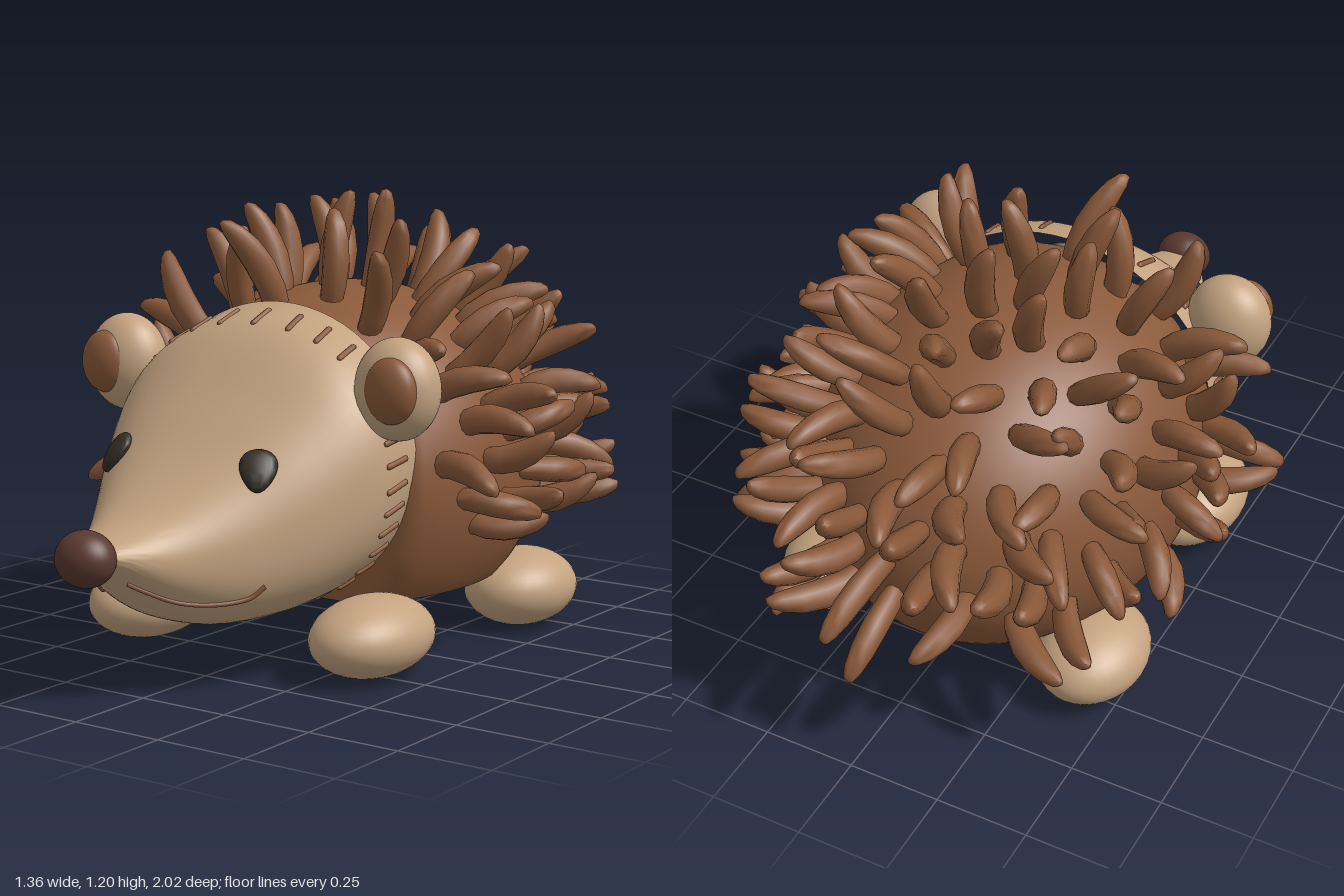
import * as THREE from 'three';
import { toCreasedNormals } from 'three/addons/utils/BufferGeometryUtils.js';

const V = (x, y, z) => new THREE.Vector3(x, y, z);
const MID = -0.02; // centre line of the body

const paint = (name, color) => {
  const m = new THREE.MeshStandardMaterial({ color });
  m.name = name;
  return m;
};

// Move every vertex of a geometry by a rule, then rebuild its normals
function reshape(geo, rule, crease = 1) {
  const p = geo.attributes.position, v = V(0, 0, 0);
  for (let i = 0; i < p.count; i++) {
    rule(v.fromBufferAttribute(p, i));
    p.setXYZ(i, v.x, v.y, v.z);
  }
  return toCreasedNormals(geo, crease);
}

// Head sections, evenly spaced along z: top, bottom, half width
const HEAD_BACK = 0.15, HEAD_LENGTH = 0.75;
const sections = new THREE.CatmullRomCurve3([
  V(0.92, 0.155, 0.425), V(0.855, 0.15, 0.415), V(0.705, 0.145, 0.35),
  V(0.565, 0.16, 0.258), V(0.465, 0.235, 0.16), V(0.41, 0.35, 0.07),
], false, 'catmullrom');

// Centre height, half height, half width and roundness of a section
function headSection(t) {
  const s = sections.getPoint(t);
  return { y: (s.x + s.y) / 2, h: (s.x - s.y) / 2, w: s.z, n: 2 + 0.45 * Math.sin(Math.PI * t) };
}

function headPoint(t, angle) {
  const s = headSection(t);
  const soft = (k) => Math.sign(k) * Math.abs(k) ** (2 / s.n);
  return V(MID + s.w * soft(Math.cos(angle)), s.y + s.h * soft(Math.sin(angle)), HEAD_BACK + t * HEAD_LENGTH);
}

// Depth of the face at a given x, y
function headZ(x, y) {
  for (let t = 1; t > 0; t -= 0.002) {
    const s = headSection(t);
    if (Math.abs((x - MID) / s.w) ** s.n + Math.abs((y - s.y) / s.h) ** s.n < 1) return HEAD_BACK + t * HEAD_LENGTH;
  }
  return HEAD_BACK;
}

export function createModel() {
  const model = new THREE.Group();
  const tan = paint('tan', 0xc4a380);
  const brown = paint('brown', 0x8a593a);
  const noseBrown = paint('dark brown', 0x5a392e);
  const black = paint('soft black', 0x332e26);

  let seed = 7;
  const random = () => (seed = (seed * 16807) % 2147483647) / 2147483647;
  const jitter = (a) => (random() - 0.5) * 2 * a;

  const add = (name, geo, mat, parent = model) => {
    const mesh = new THREE.Mesh(geo, mat);
    mesh.name = name;
    parent.add(mesh);
    return mesh;
  };
  const ball = new THREE.SphereGeometry(1, 32, 24);
  const ellipsoid = (name, mat, pos, size) => {
    const mesh = add(name, ball, mat);
    mesh.position.set(...pos);
    mesh.scale.set(...size);
    return mesh;
  };

  // Body: an ellipsoid cut flat underneath and at the neck
  const centre = V(MID, 0.46, -0.15), radii = V(0.505, 0.49, 0.62);
  add('body', reshape(new THREE.SphereGeometry(1, 64, 48), (v) => {
    v.multiply(radii).add(centre);
    v.y = Math.max(v.y, 0.155);
    v.z = Math.min(v.z, 0.17);
  }, 1.2), brown);

  // Head: round at the neck, tapering to the snout
  const headGeo = new THREE.CylinderGeometry(1, 1, 1, 64, 28, true).rotateX(Math.PI / 2);
  add('head', reshape(headGeo, (v) => v.copy(headPoint(v.z + 0.5, Math.atan2(v.y, v.x)))), tan);
  ellipsoid('nose', noseBrown, [MID, 0.38, 0.933], [0.08, 0.07, 0.067]);

  // Stitches around the neck, closer together at the sides
  const stitches = new THREE.Group();
  stitches.name = 'stitches';
  model.add(stitches);
  const stitchGeo = new THREE.CapsuleGeometry(0.008, 0.07, 3, 8);
  for (let i = 0; i < 34; i++) {
    const u = ((i + 0.5) / 34) * Math.PI * 2, a = u - 0.115 * Math.sin(2 * u);
    const from = headPoint(0.055, a), to = headPoint(0.165, a);
    const stitch = add('stitch', stitchGeo, brown, stitches);
    stitch.position.copy(from).lerp(to, 0.5);
    stitch.quaternion.setFromUnitVectors(V(0, 1, 0), to.sub(from).normalize());
  }

  // Paired parts
  const eyeGeo = reshape(new THREE.SphereGeometry(1, 24, 16), (v) => {
    v.set(v.x * (0.046 + 0.013 * v.y), v.y * 0.058, v.z * 0.02);
  });
  for (const side of [-1, 1]) {
    const label = side > 0 ? 'left' : 'right';
    const at = (x) => MID + side * x;

    // Teardrop eye lying on the face
    const ex = at(0.222), ey = 0.555, d = 0.02;
    const normal = V(headZ(ex - d, ey) - headZ(ex + d, ey), headZ(ex, ey - d) - headZ(ex, ey + d), 2 * d).normalize();
    const eye = add(label + 'Eye', eyeGeo, black);
    eye.position.set(ex, ey, headZ(ex, ey)).addScaledVector(normal, 0.005);
    eye.quaternion.setFromUnitVectors(V(0, 0, 1), normal);
    eye.rotateZ(side * 0.15);

    // Half of the smile
    const path = [[0.262, 0.28], [0.235, 0.252], [0.18, 0.24], [0.12, 0.25], [0.075, 0.285], [0.05, 0.31]]
      .map(([x, y]) => V(at(x), y, headZ(at(x), y)));
    add(label + 'Smile', new THREE.TubeGeometry(new THREE.CatmullRomCurve3(path), 32, 0.007, 8), brown);

    // Ear and inner ear
    ellipsoid(label + 'Ear', tan, [at(0.432), 0.74, 0.248], [0.115, 0.13, 0.093]);
    ellipsoid(label + 'InnerEar', brown, [at(0.455), 0.745, 0.315], [0.072, 0.083, 0.044]);

    // Feet
    ellipsoid(label + 'FrontFoot', tan, [at(0.36), 0.104, 0.25], [0.142, 0.104, 0.2]);
    ellipsoid(label + 'BackFoot', tan, [at(0.385), 0.106, -0.44], [0.145, 0.106, 0.18]);
  }

  // Quills: plump bent fingers, shorter on the flanks and swept backwards
  const quills = new THREE.Group();
  quills.name = 'quills';
  model.add(quills);
  const outline = [[0, -0.04], [0.034, -0.03], [0.04, 0.04], [0.043, 0.11], [0.04, 0.17], [0.031, 0.215], [0.018, 0.24], [0, 0.247]];
  const quillGeo = reshape(
    new THREE.LatheGeometry(outline.map(([r, y]) => new THREE.Vector2(r, y)), 10),
    (v) => { v.x += 1.3 * v.y * v.y; v.z *= 0.85; }, 1.2);
  const count = 245;
  for (let i = 0; i < count; i++) {
    const c = 1 - (2 * (i + 0.5)) / count, a = i * 2.39996, r = Math.sqrt(1 - c * c);
    const unit = V(r * Math.cos(a) + jitter(0.04), r * Math.sin(a) + jitter(0.04), c).normalize();
    const root = unit.clone().multiply(radii).add(centre);
    if (root.z > 0.12 || root.y < 0.34) continue;
    const dir = unit.clone().divide(radii).normalize();
    const lean = root.z > 0 ? 0.2 : 0.42;
    dir.add(V(jitter(0.2), jitter(0.15), jitter(0.15) - lean)).normalize();
    const quill = add('quill', quillGeo, brown, quills);
    quill.position.copy(root);
    quill.quaternion.setFromUnitVectors(V(0, 1, 0), dir);
    quill.rotateY(random() * Math.PI * 2);
    quill.scale.set(0.95, (0.9 + random() * 0.15) * (1 - 0.28 * unit.x * unit.x), 0.95);
  }
  return model;
}
